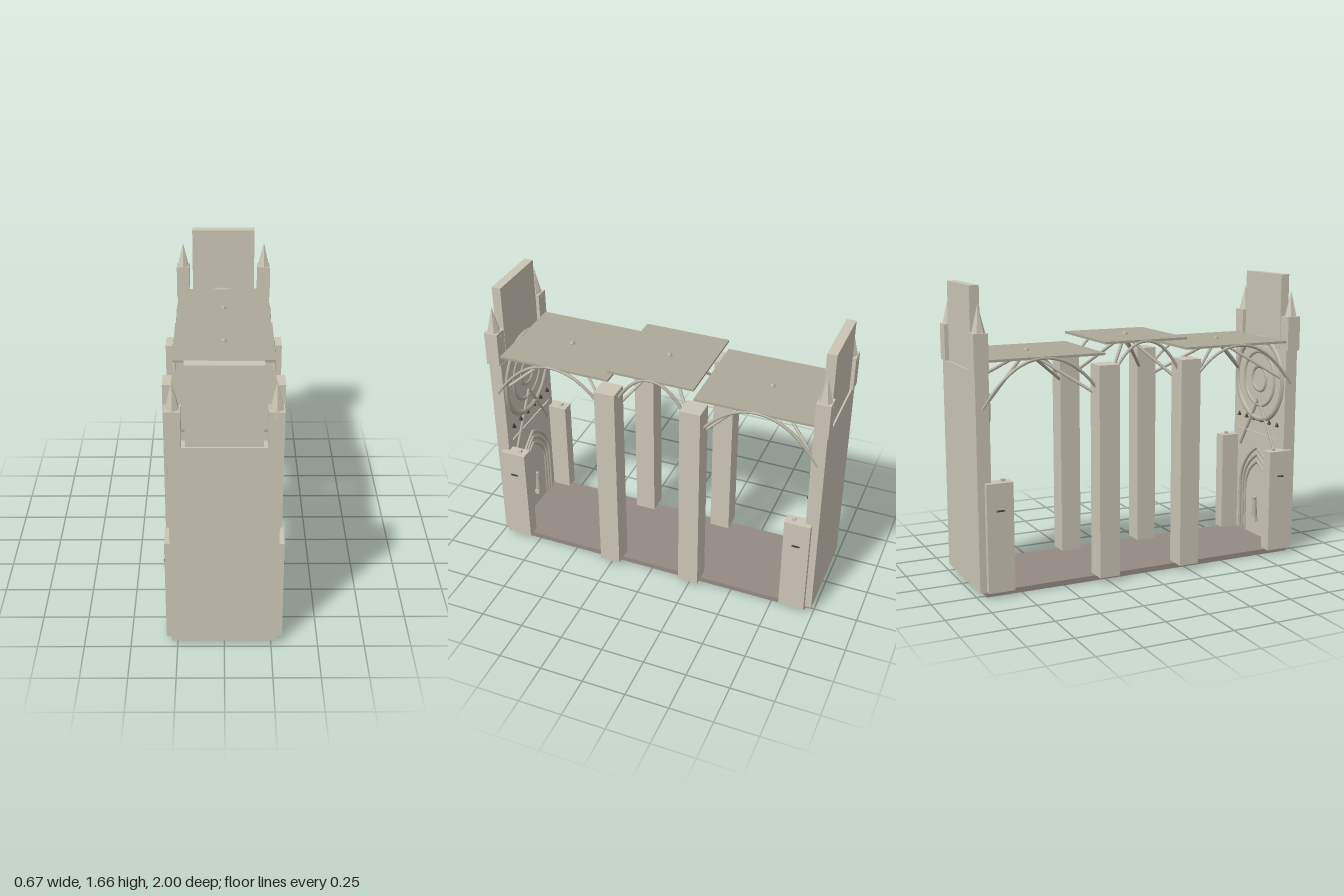
import * as THREE from 'three';

const mat = (color) => new THREE.MeshStandardMaterial({ color, side: THREE.DoubleSide, flatShading: true });
const stone = mat(0xcbc5b6), roofStone = mat(0xaca899), floorStone = mat(0x958a84), dark = mat(0x3a3a3a);
const ribStone = new THREE.MeshStandardMaterial({ color: 0xb5b0a1 });
const V = (x, y, z) => new THREE.Vector3(x, y, z);

function add(parent, name, geometry, material, x = 0, y = 0, z = 0) {
  const mesh = new THREE.Mesh(geometry, material);
  mesh.name = name;
  mesh.position.set(x, y, z);
  parent.add(mesh);
  return mesh;
}

// box given by its lower and upper limits
function block(parent, name, [x0, x1], [y0, y1], [z0, z1], material = stone) {
  return add(parent, name, new THREE.BoxGeometry(x1 - x0, y1 - y0, z1 - z0), material,
    (x0 + x1) / 2, (y0 + y1) / 2, (z0 + z1) / 2);
}

function tube(parent, name, curve, radius, segments = 20) {
  return add(parent, name, new THREE.TubeGeometry(curve, segments, radius, 8), ribStone);
}

// one vaulted bay: panel, boss, straight diagonals and curved side arches
function vaultBay(parent, zc, half, spring, crown) {
  const bay = new THREE.Group();
  bay.name = 'vaultBay';
  bay.position.z = zc;
  parent.add(bay);
  add(bay, 'boss', new THREE.SphereGeometry(0.016, 16, 12), ribStone, 0, crown + 0.003, 0);
  for (const sx of [-1, 1]) {
    for (const sz of [-1, 1]) {
      tube(bay, 'diagonalRib', new THREE.LineCurve3(V(sx * 0.275, spring, sz * half), V(0, crown, 0)), 0.009, 1);
    }
    const points = [];
    for (let i = 0; i <= 10; i++) {
      const t = i / 5 - 1;
      points.push(V(sx * 0.275, spring + (crown - 0.005 - spring) * (1 - Math.abs(t) ** 2.1), t * half));
    }
    tube(bay, 'sideArch', new THREE.CatmullRomCurve3(points), 0.009, 32);
  }
}

// pointed portal arch standing on the floor
function portalArch(parent, w, top, z) {
  const foot = 0.03, spring = top - w * 1.5;
  const path = new THREE.CurvePath();
  path.add(new THREE.LineCurve3(V(-w, foot, z), V(-w, spring, z)));
  path.add(new THREE.QuadraticBezierCurve3(V(-w, spring, z), V(-w, top - w * 0.55, z), V(0, top, z)));
  path.add(new THREE.QuadraticBezierCurve3(V(0, top, z), V(w, top - w * 0.55, z), V(w, spring, z)));
  path.add(new THREE.LineCurve3(V(w, spring, z), V(w, foot, z)));
  tube(parent, 'portalArch', path, 0.009, 48);
}

// end wall with its towers and the ornament on its inner face
function endWall() {
  const g = new THREE.Group();
  g.name = 'endWall';
  block(g, 'wall', [-0.28, 0.28], [0.03, 1.22], [0.913, 0.988]);
  block(g, 'gableSlab', [-0.192, 0.192], [1.22, 1.66], [0.925, 0.978]);

  for (const s of [-1, 1]) {
    const x = s * 0.252;
    block(g, 'pinnacleBase', [x - 0.04, x + 0.04], [1.22, 1.42], [0.915, 0.995]);
    add(g, 'spire', new THREE.ConeGeometry(0.044, 0.175, 6), stone, x, 1.4825, 0.955);
    // low side buttress with a thin hood on its outer face
    const bx = [0.235, 0.31].map((v) => v * s).sort((a, b) => a - b);
    block(g, 'buttress', bx, [0.03, 0.63], [0.80, 0.95]);
    block(g, 'buttressFinial', [s * 0.272 - 0.01, s * 0.272 + 0.01], [0.63, 0.645], [0.835, 0.855]);
    const hood = add(g, 'buttressHood', new THREE.CylinderGeometry(0.02, 0.028, 0.008, 16), dark, s * 0.308, 0.48, 0.875);
    hood.scale.x = 0.3;
  }

  // rose window
  for (const [r, t] of [[0.25, 0.018], [0.165, 0.012], [0.075, 0.012]]) {
    add(g, 'roseRing', new THREE.TorusGeometry(r, t, 10, 48), ribStone, 0, 1.02, 0.916);
  }

  // steep gable over the portal
  for (const s of [-1, 1]) {
    tube(g, 'portalGable', new THREE.LineCurve3(V(s * 0.2, 0.58, 0.91), V(0, 0.9, 0.91)), 0.01, 1);
  }
  // gallery: string course and row of small dark ornaments
  block(g, 'stringCourse', [-0.23, 0.23], [0.675, 0.683], [0.905, 0.914]);
  for (let i = 0; i < 6; i++) {
    add(g, 'galleryOrnament', new THREE.ConeGeometry(0.014, 0.03, 6), dark, (i - 2.5) * 0.085, 0.772, 0.906);
  }
  for (let i = 0; i < 3; i++) portalArch(g, 0.19 - i * 0.028, 0.59 - i * 0.045, 0.908 + i * 0.002);

  // statue on a pedestal in the portal
  block(g, 'pedestal', [-0.022, 0.022], [0.12, 0.15], [0.885, 0.914]);
  add(g, 'statueBody', new THREE.CylinderGeometry(0.011, 0.018, 0.11, 10), ribStone, 0, 0.205, 0.897);
  add(g, 'statueHead', new THREE.SphereGeometry(0.012, 12, 8), ribStone, 0, 0.271, 0.897);
  return g;
}

export function createModel() {
  const model = new THREE.Group();
  model.name = 'vaultedHall';

  block(model, 'floor', [-0.275, 0.275], [0, 0.03], [-0.95, 0.95], floorStone);

  // free-standing piers
  for (const sx of [-1, 1]) {
    for (const sz of [-1, 1]) {
      block(model, 'pier', [sx * 0.275 - 0.06, sx * 0.275 + 0.06], [0.03, 1.22], [sz * 0.25 - 0.06, sz * 0.25 + 0.06]);
    }
  }

  // ceiling panels and ribs
  block(model, 'middleCeiling', [-0.28, 0.28], [1.325, 1.338], [-0.25, 0.25], roofStone);
  vaultBay(model, 0, 0.25, 1.06, 1.335);
  for (const s of [-1, 1]) {
    const z = [s * 0.25, s * 0.913].sort((a, b) => a - b);
    block(model, 'endCeiling', [-0.28, 0.28], [1.267, 1.28], z, roofStone);
    vaultBay(model, s * 0.6, 0.35, 1.025, 1.277);
  }

  const front = endWall();
  const back = endWall();
  back.rotation.y = Math.PI;
  model.add(front, back);
  return model;
}
